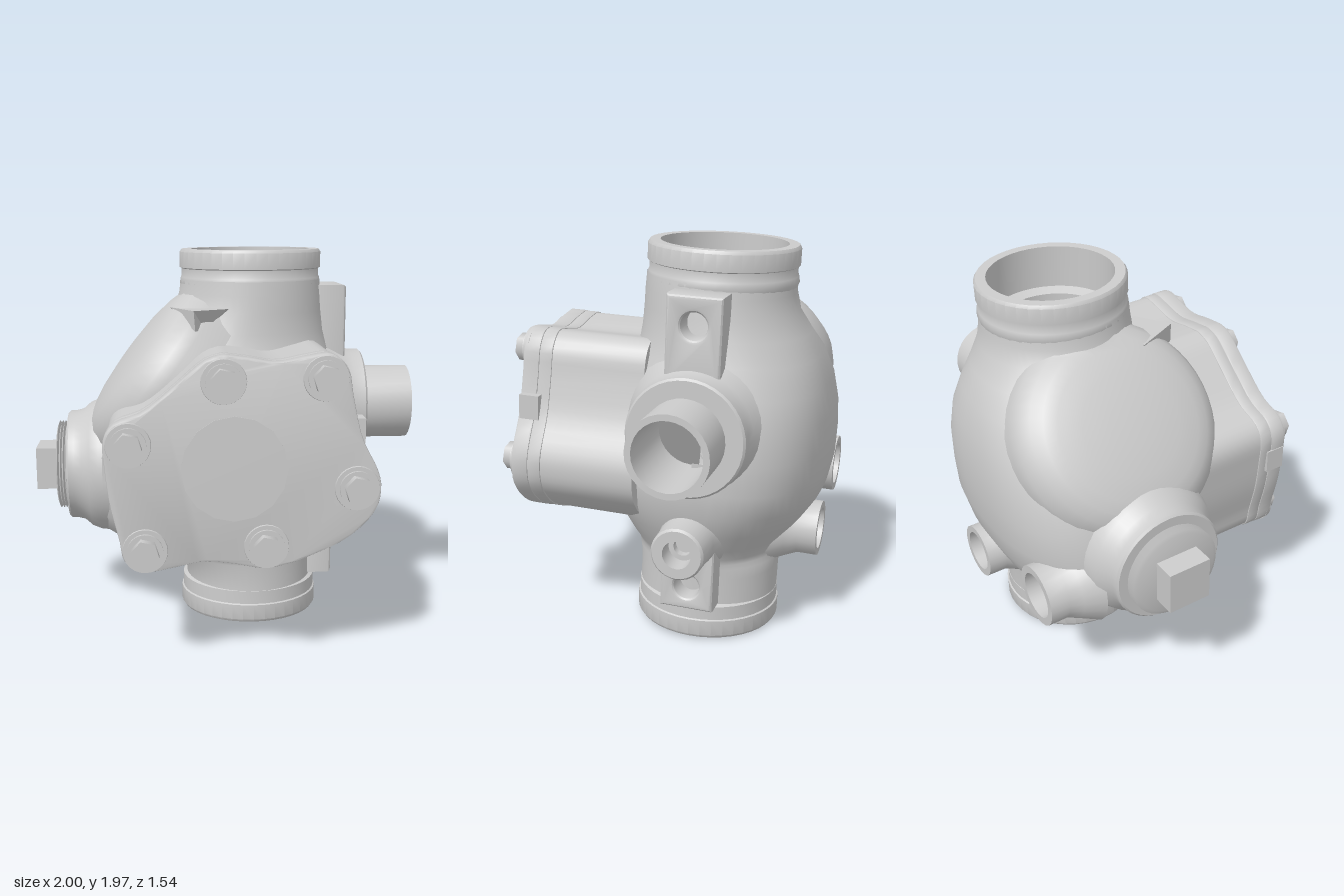
import * as THREE from 'three';
import { toCreasedNormals } from 'three/addons/utils/BufferGeometryUtils.js';

const AX = 0.145, AZ = -0.17; // axis of the vertical bore
const mat = new THREE.MeshStandardMaterial({ color: 0xcccccc, side: THREE.DoubleSide });

export function createModel() {
  const root = new THREE.Group();
  const valve = new THREE.Group();
  valve.name = 'valve';
  root.add(valve);

  const add = (name, geo, x = 0, y = 0, z = 0) => {
    const m = new THREE.Mesh(geo, mat);
    m.name = name;
    m.position.set(x, y, z);
    valve.add(m);
    return m;
  };
  // Turned part from [radius, height] pairs
  const turned = (pts, seg = 40) => toCreasedNormals(
    new THREE.LatheGeometry(pts.map(p => new THREE.Vector2(p[0], p[1])), seg), 0.6);
  const alongX = g => g.rotateZ(-Math.PI / 2);

  // Hollow body: y, left, right, back, front, squareness
  const sections = [
    [1.81, -0.22, 0.51, -0.53, 0.2, 2], [1.74, -0.23, 0.52, -0.535, 0.205, 2],
    [1.65, -0.26, 0.53, -0.555, 0.21, 2], [1.55, -0.34, 0.545, -0.61, 0.22, 2.1],
    [1.44, -0.45, 0.57, -0.67, 0.24, 2.3], [1.3, -0.55, 0.61, -0.715, 0.29, 2.6],
    [1.15, -0.63, 0.64, -0.74, 0.34, 2.7], [1.0, -0.68, 0.65, -0.745, 0.36, 2.7],
    [0.85, -0.71, 0.65, -0.74, 0.37, 2.7], [0.72, -0.72, 0.63, -0.715, 0.37, 2.5],
    [0.6, -0.71, 0.58, -0.66, 0.34, 2.3], [0.5, -0.66, 0.53, -0.6, 0.3, 2.1],
    [0.44, -0.58, 0.5, -0.57, 0.26, 2], [0.41, -0.46, 0.49, -0.55, 0.23, 2],
    [0.385, -0.3, 0.485, -0.54, 0.21, 2], [0.33, -0.21, 0.48, -0.53, 0.19, 2], [0.18, -0.2, 0.48, -0.53, 0.19, 2]];
  const N = 56, pos = [], idx = [];
  // Keep a triangle unless it blocks the side pipe
  const face = (...t) => {
    const mean = k => t.reduce((s, i) => s + pos[i * 3 + k], 0) / 3;
    if (mean(0) < 0.3 || Math.hypot(mean(1) - 1.14, mean(2) + 0.175) > 0.2) idx.push(...t);
  };
  sections.forEach(([y, x0, x1, z0, z1, e], r) => {
    for (let i = 0; i < N; i++) {
      const a = i / N * Math.PI * 2, c = Math.cos(a), s = Math.sin(a);
      pos.push((x0 + x1) / 2 + (x1 - x0) / 2 * Math.sign(c) * Math.abs(c) ** (2 / e), y,
        (z0 + z1) / 2 + (z1 - z0) / 2 * Math.sign(s) * Math.abs(s) ** (2 / e));
    }
    for (let i = 0; r && i < N; i++) {
      const j = (i + 1) % N, p = (r - 1) * N, q = r * N;
      face(p + i, p + j, q + i);
      face(p + j, q + j, q + i);
    }
  });
  const body = new THREE.BufferGeometry();
  body.setAttribute('position', new THREE.Float32BufferAttribute(pos, 3));
  body.setIndex(idx);
  body.computeVertexNormals();
  add('body', body);

  // Slanted round lobe on the upper left, pushed clear of the bore
  const lobe = new THREE.LatheGeometry([[0.535, -0.3], [0.535, -0.16], [0.52, -0.1], [0.475, -0.035], [0.42, 0],
    [0.36, 0.02], [0.25, 0.04], [0.12, 0.05], [0, 0.052]].map(p => new THREE.Vector2(p[0], p[1])), 48);
  lobe.rotateZ(0.925).translate(-0.465, 1.405, -0.135);
  const lp = lobe.attributes.position;
  for (let i = 0; i < lp.count; i++) {
    const dx = lp.getX(i) - AX, dz = lp.getZ(i) - AZ, d = Math.hypot(dx, dz), k = Math.max(1, 0.35 / d);
    lp.setX(i, AX + dx * k);
    lp.setZ(i, AZ + dz * k);
  }
  add('lobe', toCreasedNormals(lobe, 0.7));

  // Pipe ends with an inner lip
  add('topCollar', turned([[0.26, 1.68], [0.26, 1.73], [0.31, 1.75], [0.31, 1.965], [0.36, 1.965],
    [0.37, 1.95], [0.37, 1.87], [0.36, 1.865], [0.36, 1.83], [0.365, 1.82], [0.37, 1.79], [0.36, 1.76]]), AX, 0, AZ);
  add('bottomCollar', turned([[0.26, 0.32], [0.26, 0.26], [0.31, 0.24], [0.31, 0.02], [0.36, 0.02],
    [0.37, 0.035], [0.37, 0.115], [0.362, 0.12], [0.362, 0.19], [0.34, 0.2]]), AX - 0.005, 0, AZ);

  // Front access chamber, flange and cover share one outline
  const outline = [[-0.05, 1.515], [0.07, 1.5], [0.2, 1.48], [0.34, 1.505], [0.45, 1.515], [0.525, 1.445],
    [0.55, 1.315], [0.595, 1.125], [0.67, 0.975], [0.69, 0.875], [0.66, 0.765], [0.54, 0.645], [0.38, 0.565],
    [0.24, 0.515], [0.13, 0.5], [0, 0.525], [-0.15, 0.54], [-0.3, 0.51], [-0.42, 0.495], [-0.515, 0.545],
    [-0.54, 0.655], [-0.58, 0.825], [-0.6, 0.995], [-0.605, 1.125], [-0.55, 1.205], [-0.42, 1.255], [-0.27, 1.375], [-0.14, 1.485]];
  const slab = (name, scale, z0, z1, bevel) => {
    const curve = new THREE.SplineCurve([...outline, outline[0]].map(
      ([x, y]) => new THREE.Vector2(0.04 + (x - 0.04) * scale, 1.005 + (y - 1.005) * scale)));
    const pts = curve.getPoints(90);
    pts.pop();
    const g = new THREE.ExtrudeGeometry(new THREE.Shape(pts), { depth: z1 - z0 - 2 * bevel, bevelEnabled: bevel > 0,
      bevelSize: bevel, bevelThickness: bevel, bevelOffset: -bevel, bevelSegments: 2 });
    add(name, toCreasedNormals(g, 0.6), 0, 0, z0 + bevel);
  };
  slab('chamber', 0.985, 0.09, 0.57, 0);
  slab('chamberFlange', 0.995, 0.56, 0.627, 0.006);
  slab('cover', 1, 0.625, 0.71, 0.01);
  add('coverDisc', new THREE.CylinderGeometry(0.25, 0.25, 0.01, 16).rotateX(Math.PI / 2), 0, 0.985, 0.708);
  for (const s of [-1, 1]) add('coverTab', new THREE.BoxGeometry(0.06, 0.12, 0.1), s * 0.58, s > 0 ? 1.155 : 0.99, 0.65);

  // Cover bolts
  for (const [x, y] of [[-0.05, 1.395], [0.42, 1.405], [0.575, 0.885], [0.15, 0.61], [-0.42, 0.6], [-0.49, 1.105]]) {
    add('boltSeat', new THREE.CylinderGeometry(0.105, 0.112, 0.03, 24).rotateX(Math.PI / 2), x, y, 0.704);
    add('boltWasher', new THREE.CylinderGeometry(0.085, 0.085, 0.02, 24).rotateX(Math.PI / 2), x, y, 0.722);
    add('boltHead', new THREE.CylinderGeometry(0.068, 0.068, 0.06, 6).rotateX(Math.PI / 2).rotateZ(0.3), x, y, 0.747);
  }

  // Left outlet: boss, threaded plug, square head
  add('plugBoss', alongX(turned([[0.36, -0.6], [0.355, -0.66], [0.335, -0.71], [0.3, -0.75], [0.29, -0.79],
    [0.29, -0.82], [0.28, -0.83], [0, -0.83]])), 0, 0.82, -0.155);
  const thread = [[0.22, -0.82]];
  for (let i = 0; i < 4; i++) thread.push([0.235, -0.835 - i * 0.015], [0.215, -0.8425 - i * 0.015]);
  thread.push([0, -0.892]);
  add('plugThread', alongX(turned(thread)), 0, 0.82, -0.155);
  add('plugHead', new THREE.BoxGeometry(0.11, 0.22, 0.22), -0.945, 0.82, -0.155);

  // Right outlet: boss and open pipe
  add('pipeBoss', alongX(turned([[0.36, 0.5], [0.33, 0.57], [0.3, 0.63], [0.287, 0.68],
    [0.287, 0.73], [0.277, 0.74], [0.18, 0.74]])), 0, 1.14, -0.175);
  add('sidePipe', alongX(turned([[0.195, 0.6], [0.195, 0.995], [0.165, 0.995], [0.165, 0.6]], 28)), 0, 1.14, -0.175);

  // Small right port
  add('sidePort', alongX(turned([[0.2, 0.44], [0.16, 0.53], [0.135, 0.6], [0.13, 0.75], [0.12, 0.762],
    [0.07, 0.762], [0.07, 0.66], [0.045, 0.66], [0.045, 0.62], [0, 0.62]], 28)), 0, 0.577, -0.167);

  // Drilled mounting lugs on the right
  const lug = (name, y0, y1, holeY, x0, x1) => {
    const w = 0.115, h = (y1 - y0) / 2 - 0.02, s = new THREE.Shape();
    s.moveTo(-w, -h).lineTo(w, -h).lineTo(w, h).lineTo(-w, h).closePath();
    s.holes.push(new THREE.Path().absarc(0, holeY - (y0 + y1) / 2, 0.083, 0, Math.PI * 2, true));
    const g = new THREE.ExtrudeGeometry(s, { depth: x1 - x0 - 0.02, bevelSize: 0.02, bevelThickness: 0.02,
      bevelSegments: 3, curveSegments: 16 }).rotateY(Math.PI / 2);
    add(name, toCreasedNormals(g, 0.5), x0, (y0 + y1) / 2, AZ);
  };
  lug('upperLug', 1.37, 1.78, 1.64, 0.5, 0.64);
  lug('lowerLug', 0.21, 0.56, 0.33, 0.46, 0.585);

  // Open ports low on the back
  const port = turned([[0.21, -0.16], [0.165, -0.06], [0.14, 0], [0.14, 0.1], [0.105, 0.1], [0.1, -0.06], [0, -0.06]], 24);
  port.rotateX(-Math.PI / 2);
  add('backPort', port, 0.1, 0.54, -0.635);
  add('backPort', port, -0.52, 0.68, -0.61).scale.set(1.1, 1.1, 1);

  // Small tapered shelf beside the upper neck
  const shelf = new THREE.Shape().moveTo(-0.28, 0.08).lineTo(0.02, 0.17).lineTo(0, 0.21).lineTo(-0.17, 0.31);
  const sg = new THREE.ExtrudeGeometry(shelf, { depth: 0.1, bevelEnabled: false }).rotateX(Math.PI / 2);
  const sp = sg.attributes.position;
  for (let i = 0; i < sp.count; i++) if (sp.getY(i) < -0.05) sp.setX(i, -0.16 + (sp.getX(i) + 0.16) * 0.3);
  sg.computeVertexNormals();
  add('shelf', sg, 0, 1.68, 0);

  // The whole casting leans slightly backward about its middle
  valve.children.forEach(m => { m.position.y -= 1; });
  valve.position.y = 0.995;
  valve.rotation.x = -0.04;
  return root;
}
